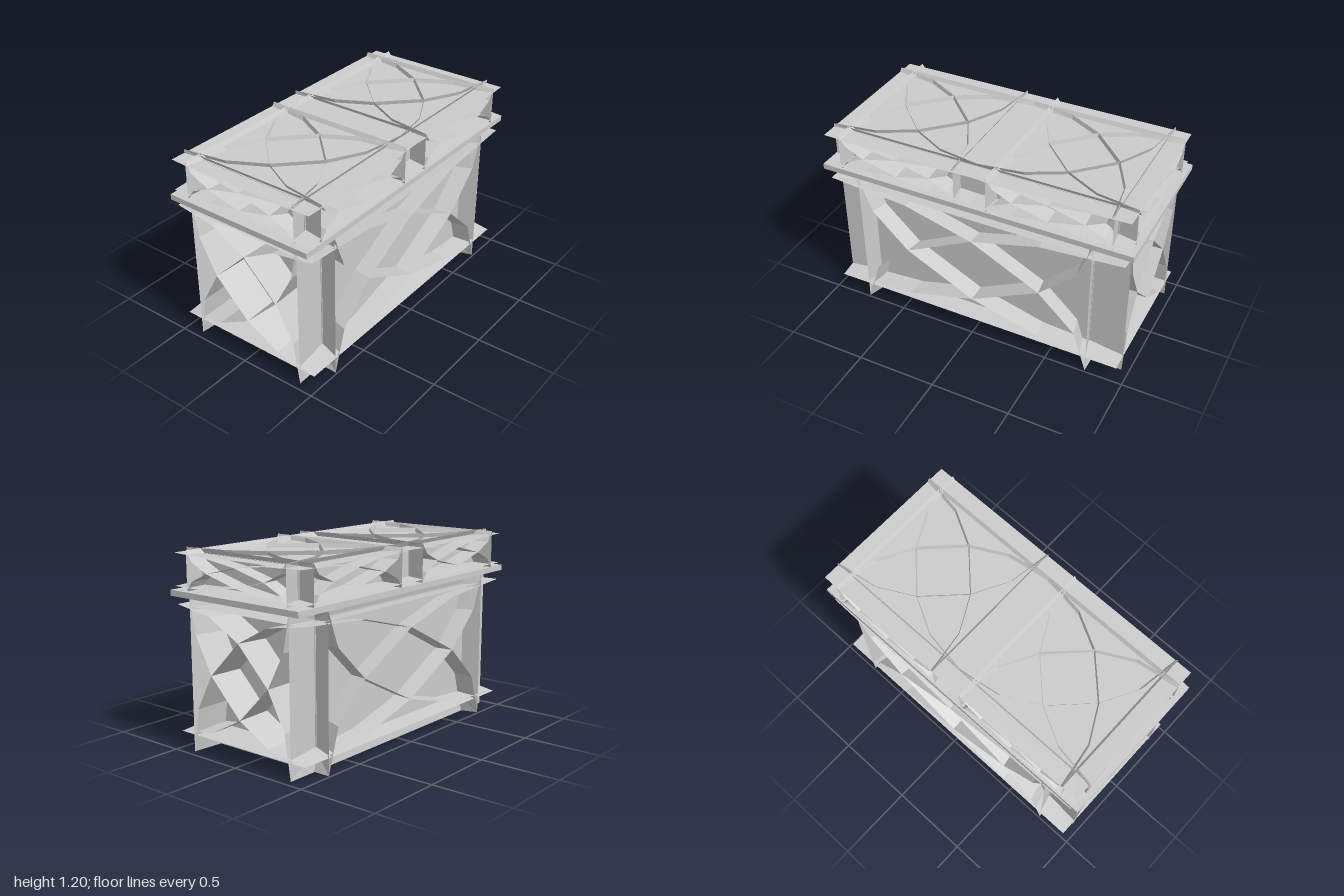
import * as THREE from 'three';

const grey = new THREE.MeshStandardMaterial({ color: 0xcccccc, flatShading: true, side: THREE.DoubleSide });
const FLARE = 1.04; // ribs spread slightly towards their outer rim

function box(name, w, h, d, x, y, z) {
  const m = new THREE.Mesh(new THREE.BoxGeometry(w, h, d), grey);
  m.position.set(x, y, z);
  m.name = name;
  return m;
}

// Ribs of one framed cell, standing from depth w0 to w1.
// a, b: half size of the frame; lim: [uMin, uMax, vMin, vMax] where the ribs end;
// place(u, v, w) maps cell coordinates to the model.
function ribs(name, a, b, lim, w0, w1, place, braces = true) {
  const [u0, u1, v0, v1] = lim;
  const lines = [];
  // straight frame ribs
  for (const s of [-1, 1]) {
    lines.push([[s * a, v0], [s * a, v1]], [[u0, s * b], [u1, s * b]]);
  }
  // four bowed cross braces
  if (braces) {
    for (const su of [-1, 1]) for (const sv of [-1, 1]) {
      lines.push([
        [-su * a, sv > 0 ? v0 : v1],
        [-su * a * 0.89, -sv * b * 0.58],
        [-su * a * 0.58, 0],
        [0, sv * b * 0.58],
        [su * a * 0.58, sv * b * 0.89],
        [su > 0 ? u1 : u0, sv * b],
      ]);
    }
  }
  const inner = ([u, v]) => place(u, v, w0);
  const outer = ([u, v]) => place(
    THREE.MathUtils.clamp(u * FLARE, u0, u1),
    THREE.MathUtils.clamp(v * FLARE, v0, v1), w1);
  const pos = [];
  for (const line of lines) {
    for (let i = 0; i + 1 < line.length; i++) {
      const p = inner(line[i]), q = inner(line[i + 1]);
      const r = outer(line[i + 1]), s = outer(line[i]);
      pos.push(...p, ...q, ...r, ...p, ...r, ...s);
    }
  }
  const g = new THREE.BufferGeometry();
  g.setAttribute('position', new THREE.Float32BufferAttribute(pos, 3));
  g.computeVertexNormals();
  const m = new THREE.Mesh(g, grey);
  m.name = name;
  return m;
}

function createBody() {
  const body = new THREE.Group();
  body.name = 'body';
  const cy = 0.49;
  body.add(box('bodyCore', 1.47, 0.75, 0.75, 0, cy, 0));
  for (const s of [1, -1]) {
    body.add(ribs(s > 0 ? 'frontRibs' : 'backRibs', 0.73, 0.37, [-0.955, 0.955, -0.49, 0.44],
      0.375, 0.49, (u, v, w) => [u, cy + v, s * w]));
    body.add(ribs(s > 0 ? 'leftRibs' : 'rightRibs', 0.37, 0.37, [-0.49, 0.49, -0.49, 0.44],
      0.735, 0.955, (u, v, w) => [s * w, cy + v, u]));
  }
  const flat = [-0.955, 0.955, -0.49, 0.49];
  body.add(ribs('bottomRibs', 0.73, 0.37, flat, 0.375, 0.49, (u, v, w) => [u, cy - w, v]));
  body.add(ribs('topRibs', 0.73, 0.37, flat, 0.375, 0.44, (u, v, w) => [u, cy + w, v], false));
  return body;
}

function createLid() {
  const lid = new THREE.Group();
  lid.name = 'lid';
  const cy = 1.08;
  lid.add(box('lidCore', 1.73, 0.215, 0.75, 0, 1.0675, 0));
  // two cells side by side on the front, back and top
  for (const side of [1, -1]) {
    const cx = side * 0.487;
    const ends = side > 0 ? [-0.487, 0.483] : [-0.483, 0.487];
    for (const s of [1, -1]) {
      lid.add(ribs(s > 0 ? 'lidFrontRibs' : 'lidBackRibs', 0.37, 0.093, [...ends, -0.115, 0.12],
        0.375, 0.49, (u, v, w) => [cx + u, cy + v, s * w]));
    }
    lid.add(ribs('lidTopRibs', 0.37, 0.37, [...ends, -0.49, 0.49],
      1.175, 1.2, (u, v, w) => [cx + u, w, v]));
    // lid end
    lid.add(ribs('lidEndRibs', 0.37, 0.093, [-0.49, 0.49, -0.115, 0.12],
      0.865, 0.97, (u, v, w) => [side * w, cy + v, u]));
  }
  // round boss in the middle of the back
  const boss = new THREE.Mesh(new THREE.CylinderGeometry(0.075, 0.075, 0.02, 16), grey);
  boss.rotation.x = Math.PI / 2;
  boss.position.set(0, cy, -0.38);
  boss.name = 'backBoss';
  lid.add(boss);
  return lid;
}

export function createModel() {
  const model = new THREE.Group();
  model.name = 'crate';
  model.add(createBody(), createLid());
  // rim between body and lid
  model.add(box('rim', 2, 0.035, 0.99, 0, 0.9475, 0));
  model.add(box('rimLip', 1.8, 0.014, 0.9, 0, 0.923, 0));
  return model;
}
